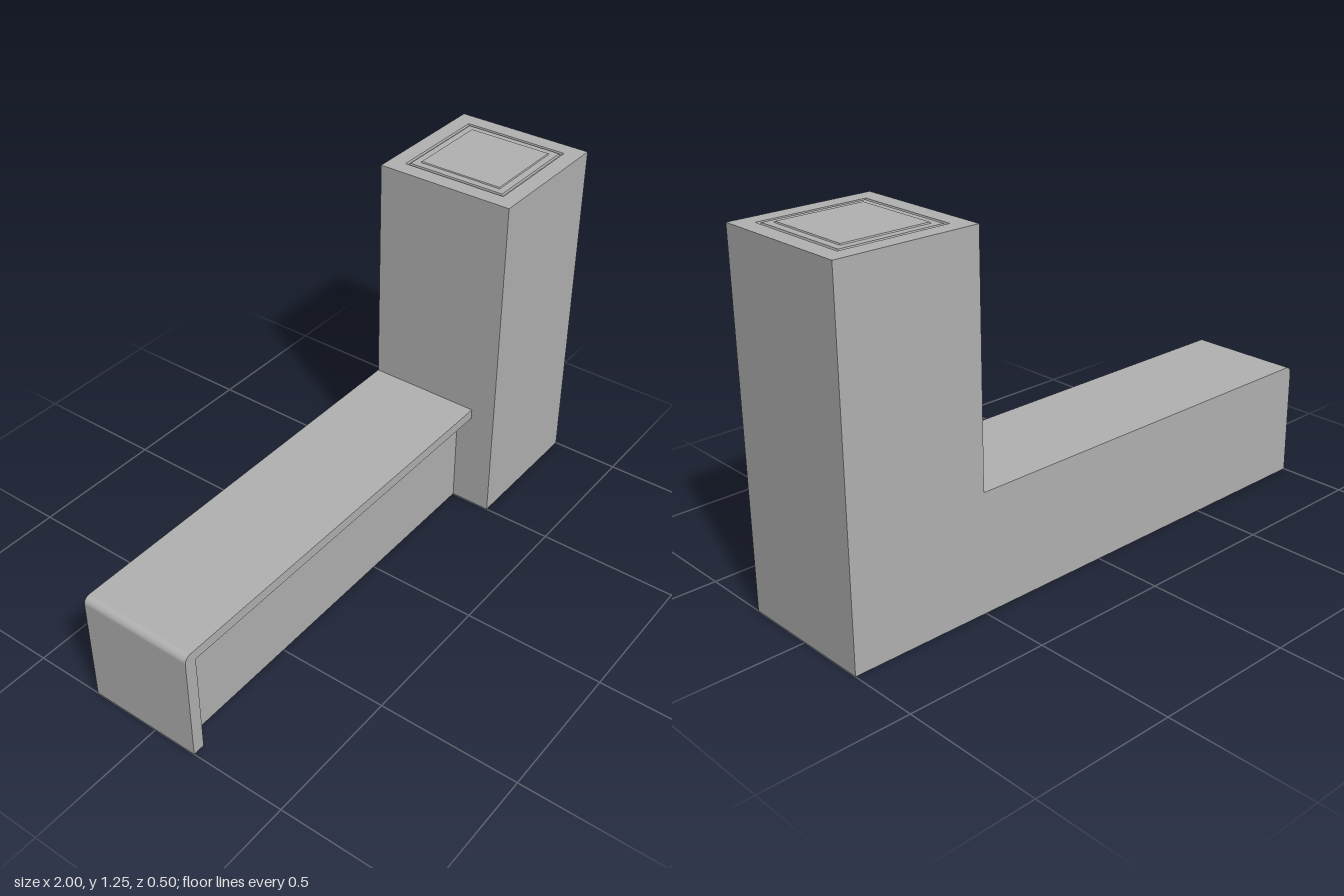
import * as THREE from 'three';

const grey = new THREE.MeshStandardMaterial({ color: 0xb2b2b2, side: THREE.DoubleSide });
grey.name = 'plain grey';

function add(group, name, geometry, x = 0, y = 0, z = 0) {
  const mesh = new THREE.Mesh(geometry, grey);
  mesh.name = name;
  mesh.position.set(x, y, z);
  group.add(mesh);
}

// Square column with an open bottom, revolved in four steps from [half width, height] pairs
function squareLathe(profile) {
  const points = profile.map(([half, y]) => new THREE.Vector2(half * Math.SQRT2, y));
  const geometry = new THREE.LatheGeometry(points, 4, Math.PI / 4).toNonIndexed();
  geometry.computeVertexNormals();
  return geometry;
}

export function createModel() {
  const model = new THREE.Group();
  model.name = 'benchWithPillar';

  // Hollow pillar: walls, grooved top and slightly raised centre plate
  const top = 1.246;
  add(model, 'pillar', squareLathe([
    [0.25, 0], [0.25, top],
    [0.192, top], [0.19, top - 0.008], [0.182, top - 0.008], [0.18, top],
    [0.155, top], [0.153, 1.25], [0, 1.25],
  ]), 0.75);

  // Bench frame: end leg and seat slab in one piece, outer corner rounded
  const r = 0.025, height = 0.415;
  const frame = new THREE.Shape();
  frame.moveTo(-1, 0);
  frame.lineTo(-0.957, 0);
  frame.lineTo(-0.957, 0.378);
  frame.lineTo(0.5, 0.378);
  frame.lineTo(0.5, height);
  frame.lineTo(-1 + r, height);
  frame.absarc(-1 + r, height - r, r, Math.PI / 2, Math.PI, false);
  frame.closePath();
  add(model, 'benchFrame', new THREE.ExtrudeGeometry(frame, {
    depth: 0.41, bevelEnabled: false, curveSegments: 8,
  }), 0, 0, -0.25);

  // Recessed body under the seat
  add(model, 'benchBody', new THREE.BoxGeometry(1.457, 0.378, 0.352), -0.2285, 0.189, -0.074);

  return model;
}
